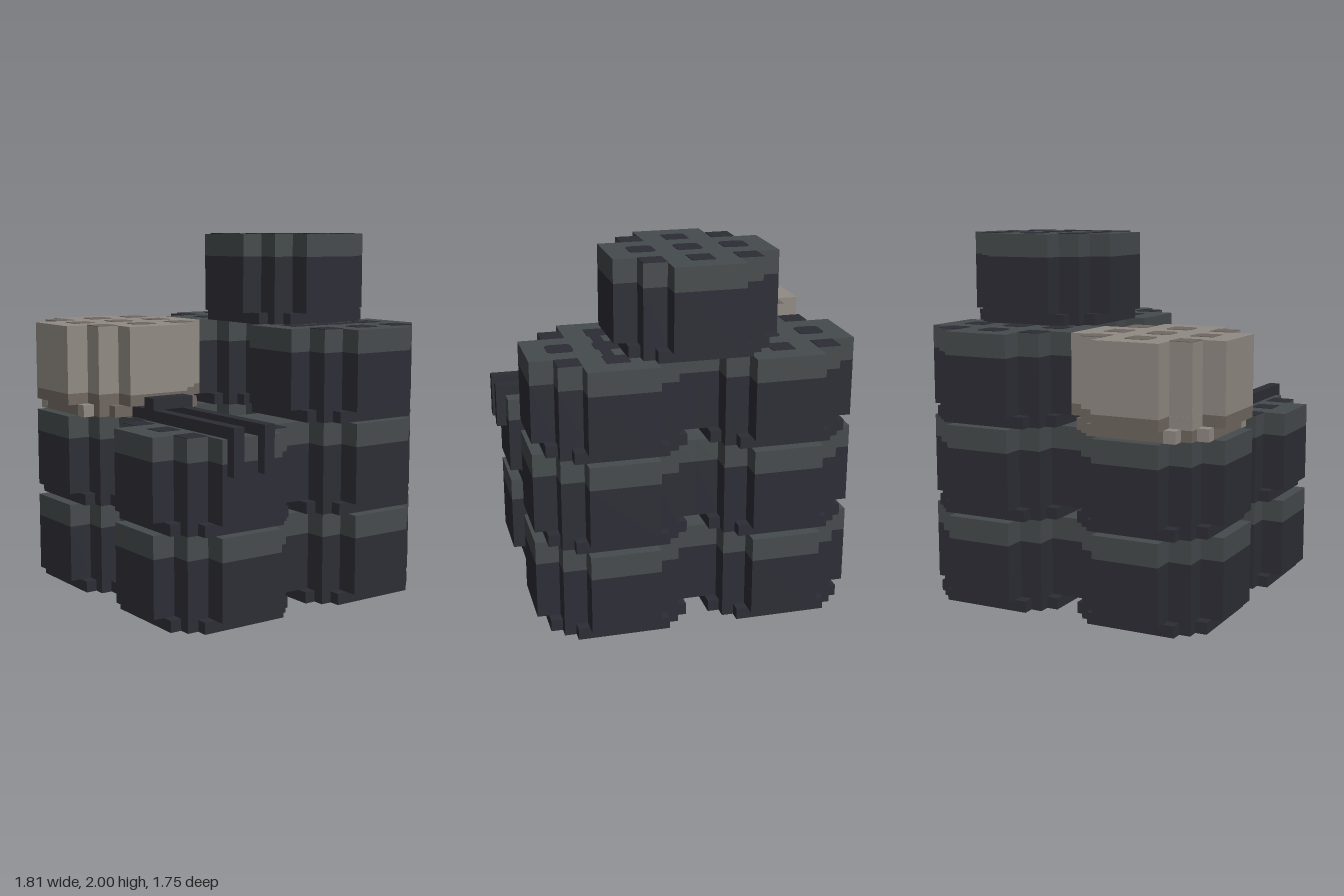
import * as THREE from 'three';

const U = 1 / 16; // one voxel
const mat = (name, color) => {
  const m = new THREE.MeshStandardMaterial({ color });
  m.name = name;
  return m;
};

// Extrude a flat shape upwards from y0 to y1 (voxel units)
function prism(shape, y0, y1) {
  const g = new THREE.ExtrudeGeometry(shape, { depth: (y1 - y0) * U, bevelEnabled: false });
  g.rotateX(-Math.PI / 2);
  g.translate(0, y0 * U, 0);
  return g;
}

// Stepped round outline from [halfX, halfZ] corners, mirrored into four quadrants
function steppedShape(corners) {
  const quad = [];
  corners.forEach(([x, z], i) => {
    if (i > 0) quad.push([x, corners[i - 1][1]]);
    quad.push([x, z]);
  });
  const flip = (sx, sz) => quad.map(([x, z]) => new THREE.Vector2(x * sx * U, z * sz * U));
  return new THREE.Shape([
    ...flip(1, 1), ...flip(-1, 1).reverse(), ...flip(-1, -1), ...flip(1, -1).reverse(),
  ]);
}

// Square with clipped, rounded corners
function roundedSquare(h, r) {
  const s = new THREE.Shape();
  const c = h - r;
  [[c, c], [-c, c], [-c, -c], [c, -c]].forEach(([x, z], i) => {
    s.absarc(x * U, z * U, r * U, i * Math.PI / 2, (i + 1) * Math.PI / 2, false);
  });
  return s;
}

export function createModel() {
  const model = new THREE.Group();
  model.name = 'barrelStack';
  const grey = mat('lidGrey', 0x464b4d);
  const dark = mat('barrelDark', 0x2d2d36);
  const beige = mat('paleBeige', 0x918b84);
  const brown = mat('paleBrown', 0x706761);

  const add = (parent, name, geo, material) => {
    const m = new THREE.Mesh(geo, material);
    m.name = name;
    parent.add(m);
    return m;
  };
  // Box from min to max corners, in voxel units
  const box = (parent, name, [x0, y0, z0], [x1, y1, z1], material) => {
    const g = new THREE.BoxGeometry((x1 - x0) * U, (y1 - y0) * U, (z1 - z0) * U);
    g.translate((x0 + x1) * U / 2, (y0 + y1) * U / 2, (z0 + z1) * U / 2);
    return add(parent, name, g, material);
  };

  const bodyShape = steppedShape([[7, 3], [5, 5], [3, 7]]);
  const neckShape = steppedShape([[6, 4], [5, 5], [4, 6]]);
  const dotShape = roundedSquare(1.1, 0.5);

  function barrel(name, x, level, z, light, shade, seam, openTop) {
    const b = new THREE.Group();
    b.name = name;
    b.position.set(x * U, level * 8 * U, z * U);
    add(b, 'neck', prism(neckShape, 0, 1), shade);
    add(b, 'lowerBody', prism(bodyShape, 1, seam), shade);
    add(b, 'upperBody', prism(bodyShape, seam, 8), light);
    if (openTop) {
      // Three by three pattern of dark spots on the lid
      for (const px of [-4, 0, 4]) {
        for (const pz of [-4, 4]) {
          box(b, 'lidSquare', [px - 1, 7.99, pz - 1], [px + 1, 8.05, pz + 1], shade);
        }
        const dot = add(b, 'lidDot', prism(dotShape, 7.99, 8.05), shade);
        dot.position.x = px * U;
      }
    }
    model.add(b);
    return b;
  }

  // Two full layers of four
  for (const level of [0, 1]) {
    for (const x of [-7.5, 6.5]) {
      for (const z of [-7, 7]) {
        barrel('darkBarrel', x, level, z, grey, dark, 6, level === 1 && x > 0 && z > 0);
      }
    }
  }
  // Third layer and the single top barrel
  barrel('backRightBarrel', -7.5, 2, -7, grey, dark, 6, true);
  const backLeft = barrel('backLeftBarrel', 6.5, 2, -7, grey, dark, 6, true);
  barrel('topBarrel', -0.5, 3, -7, grey, dark, 6, true);
  const pale = barrel('paleBarrel', -7.5, 2, 7, beige, brown, 2, true);

  // Pale chips around the pale barrel's base
  const e = 0.03;
  const chips = [
    [[3, 0, 5], [4, 1, 6]], [[-4, 0, 5], [-3, 1, 6]],
    [[-6, 0, 3], [-5, 1, 4]], [[-5, 1, 3], [-3, 2, 5]],
  ];
  for (const [a, c] of chips) {
    box(pale, 'paleChip', a.map((v) => v - e), c.map((v) => v + e), beige);
  }

  // Dark stains where the lids meet their neighbours
  box(backLeft, 'sideStain', [-7, 6, 2.9], [-5, 8, 3.05], dark);
  box(backLeft, 'lidStain', [-0.1, 7.95, -3], [0.8, 8.05, 3], dark);
  box(model, 'lidStain', [-0.5, 15.95, 4], [1.3, 16.05, 10], dark);
  box(model, 'sideStain', [-0.5, 14, 9.95], [0.9, 16, 10.05], grey);

  // Forked bar lying on the front barrel
  const fork = new THREE.Group();
  fork.name = 'forkedBar';
  for (const z of [5.5, 8.5]) {
    box(fork, 'rail', [-1, 16, z], [14.4, 17, z + 1], dark);
    box(fork, 'hook', [13.5, 13, z], [14.4, 16, z + 1], dark);
  }
  box(fork, 'crossbar', [1, 17, 5.5], [2.5, 18, 9.5], dark);
  model.add(fork);

  return model;
}
